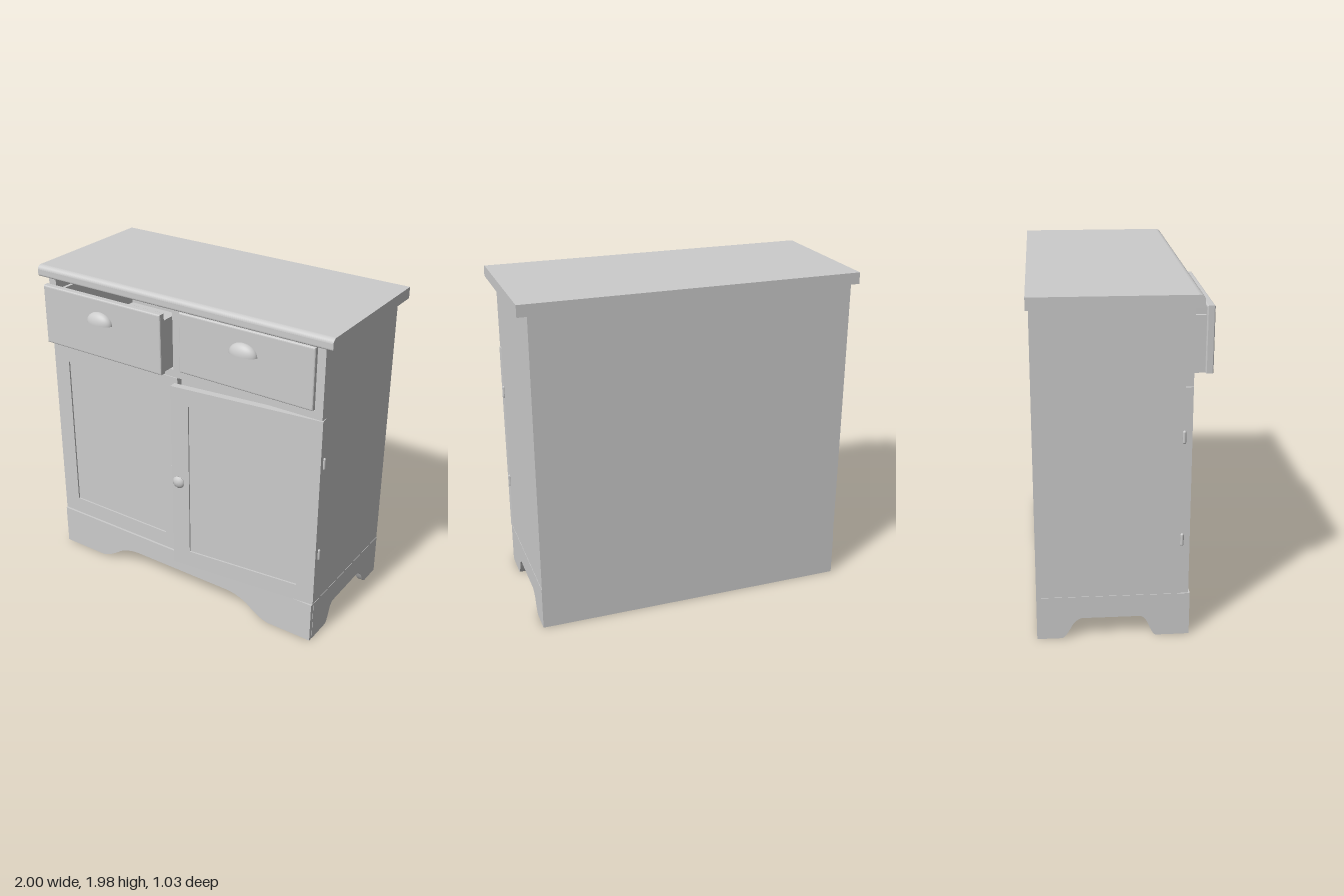
import * as THREE from 'three';

export function createModel() {
  const cabinet = new THREE.Group();
  cabinet.name = 'cabinet';
  const paint = new THREE.MeshStandardMaterial({ color: 0xcccccc, side: THREE.DoubleSide });
  paint.name = 'pale grey';

  const add = (parent, name, geometry) => {
    const mesh = new THREE.Mesh(geometry, paint);
    mesh.name = name;
    parent.add(mesh);
    return mesh;
  };
  // Box given by its limits on each axis
  const slab = (parent, name, x0, x1, y0, y1, z0, z1) => {
    const g = new THREE.BoxGeometry(x1 - x0, y1 - y0, z1 - z0);
    return add(parent, name, g.translate((x0 + x1) / 2, (y0 + y1) / 2, (z0 + z1) / 2));
  };
  const rect = (x0, x1, y0, y1, Type = THREE.Shape) => {
    const s = new Type();
    s.moveTo(x0, y0).lineTo(x1, y0).lineTo(x1, y1).lineTo(x0, y1).closePath();
    return s;
  };
  const extrude = (shape, depth) =>
    new THREE.ExtrudeGeometry(shape, { depth, bevelEnabled: false, curveSegments: 8 });
  // Extrude a (z, y) profile along x, from xMax towards -x
  const extrudeX = (shape, xMax, depth) =>
    extrude(shape, depth).rotateY(-Math.PI / 2).translate(xMax, 0, 0);

  const L = -0.955, R = 0.942, BACK = -0.5, FACE = 0.353, SEAM = 0.31;

  // Worktop with rounded front edge
  const top = new THREE.Shape();
  top.moveTo(-0.515, 1.912).lineTo(0.38, 1.912);
  top.quadraticCurveTo(0.395, 1.912, 0.395, 1.927);
  top.lineTo(0.395, 1.955).quadraticCurveTo(0.392, 1.978, 0.365, 1.98);
  top.lineTo(-0.515, 1.98).closePath();
  add(cabinet, 'worktop', extrudeX(top, 1, 2));

  // Carcass boards
  slab(cabinet, 'backPanel', L, R, 0, 1.912, BACK, BACK + 0.02);
  slab(cabinet, 'bottomBoard', L + 0.02, R - 0.02, 0.235, 0.258, BACK + 0.02, SEAM);
  slab(cabinet, 'drawerShelf', L + 0.02, R - 0.02, 1.49, 1.51, BACK + 0.02, SEAM);
  slab(cabinet, 'drawerDivider', -0.02, 0, 1.51, 1.912, BACK + 0.02, SEAM);
  for (const x of [L, R - 0.025]) slab(cabinet, 'sidePanel', x, x + 0.025, 0.25, 1.912, BACK, SEAM);

  // Face frame around the two drawers
  const frame = rect(L, R, 1.482, 1.912);
  frame.holes.push(rect(-0.902, -0.036, 1.528, 1.902, THREE.Path),
    rect(0.016, 0.892, 1.528, 1.902, THREE.Path));
  add(cabinet, 'faceFrame', extrude(frame, FACE - SEAM).translate(0, 0, SEAM));

  // Plinth boards with curved cut-outs; a is the low end and b the high end of each curve
  const skirt = (lo, hi, a0, b0, b1, a1) => {
    const s = new THREE.Shape();
    const m0 = (a0 + b0) / 2, m1 = (a1 + b1) / 2, h = 0.125;
    s.moveTo(lo, 0).lineTo(a0, 0);
    s.quadraticCurveTo(a0 + (m0 - a0) * 0.4, 0.008, m0, h * 0.66);
    s.quadraticCurveTo(m0 + (b0 - m0) * 0.5, h, b0, h);
    s.lineTo(b1, h);
    s.quadraticCurveTo(m1 + (b1 - m1) * 0.5, h, m1, h * 0.66);
    s.quadraticCurveTo(a1 + (m1 - a1) * 0.4, 0.008, a1, 0);
    s.lineTo(hi, 0).lineTo(hi, 0.26).lineTo(lo, 0.26).closePath();
    return s;
  };
  add(cabinet, 'plinthFront',
    extrude(skirt(L, R, -0.65, -0.34, 0.34, 0.65), 0.04).translate(0, 0, 0.322));
  for (const x of [L + 0.037, R + 0.002]) {
    add(cabinet, 'plinthSide',
      extrudeX(skirt(BACK, 0.335, -0.36, -0.24, 0.08, 0.17), x, 0.04));
  }

  // Framed doors, hinged on their outer edges
  const door = (name, x0, x1, pivotX, angle) => {
    const g = new THREE.Group();
    g.name = name;
    g.position.set(pivotX, 0, SEAM);
    g.rotation.y = angle;
    const m = 0.112, s = rect(x0, x1, 0.264, 1.478);
    s.holes.push(rect(x0 + m, x1 - m, 0.37, 1.372, THREE.Path));
    add(g, 'doorFrame', extrude(s, 0.043));
    slab(g, 'doorPanel', x0 + m, x1 - m, 0.37, 1.372, 0.01, 0.033);
    cabinet.add(g);
    return g;
  };
  const rightDoor = door('rightDoor', 0, 0.946, L, 0);
  const leftDoor = door('leftDoor', -0.936, 0, R, 0.107);

  // Turned knob on the open door, small peg on the closed one
  const profile = [[0.016, 0], [0.009, 0.006], [0.008, 0.02], [0.036, 0.026],
    [0.038, 0.031], [0.026, 0.041], [0.012, 0.045], [0, 0.046]];
  const knob = new THREE.LatheGeometry(profile.map(p => new THREE.Vector2(...p)), 20);
  add(leftDoor, 'knob', knob.rotateX(Math.PI / 2)).position.set(-0.878, 0.87, 0.043);
  const peg = new THREE.CylinderGeometry(0.008, 0.008, 0.006, 12).rotateX(Math.PI / 2);
  add(rightDoor, 'latchPeg', peg).position.set(0.893, 0.875, 0.044);

  // Hinge barrels
  for (const x of [L - 0.002, R + 0.002]) {
    for (const y of [0.597, 1.2]) {
      add(cabinet, 'hinge', new THREE.CapsuleGeometry(0.01, 0.055, 4, 10)).position.set(x, y, SEAM);
    }
  }

  // Drawers: bevelled front, open box and cup handle
  const drawer = (name, x0, x1, front) => {
    const g = new THREE.Group();
    g.name = name;
    g.position.z = front;
    const b = 0.01, y0 = 1.532, y1 = 1.898;
    const face = new THREE.ExtrudeGeometry(rect(x0 + b, x1 - b, y0 + b, y1 - b),
      { depth: 0.03, bevelThickness: 0.007, bevelSize: b, bevelSegments: 3 });
    add(g, 'drawerFront', face.translate(0, 0, -0.037));
    const a = x0 + 0.02, c = x1 - 0.015, back = -0.8;
    slab(g, 'drawerSide', a, a + 0.02, y0, 1.845, back, -0.04);
    slab(g, 'drawerSide', c - 0.02, c, y0, 1.845, back, -0.04);
    slab(g, 'drawerBack', a + 0.02, c - 0.02, y0, 1.845, back, back + 0.02);
    slab(g, 'drawerBottom', a + 0.02, c - 0.02, y0, y0 + 0.015, back + 0.02, -0.04);

    const cup = new THREE.SphereGeometry(1, 24, 10, 0, Math.PI, 0, Math.PI / 2);
    add(g, 'cupHandle', cup.scale(0.09, 0.068, 0.047)).position.set((x0 + x1) / 2 - 0.004, 1.752, 0);
    cabinet.add(g);
  };
  drawer('rightDrawer', -0.898, -0.04, 0.465);
  drawer('leftDrawer', 0.02, 0.888, 0.372);

  return cabinet;
}
